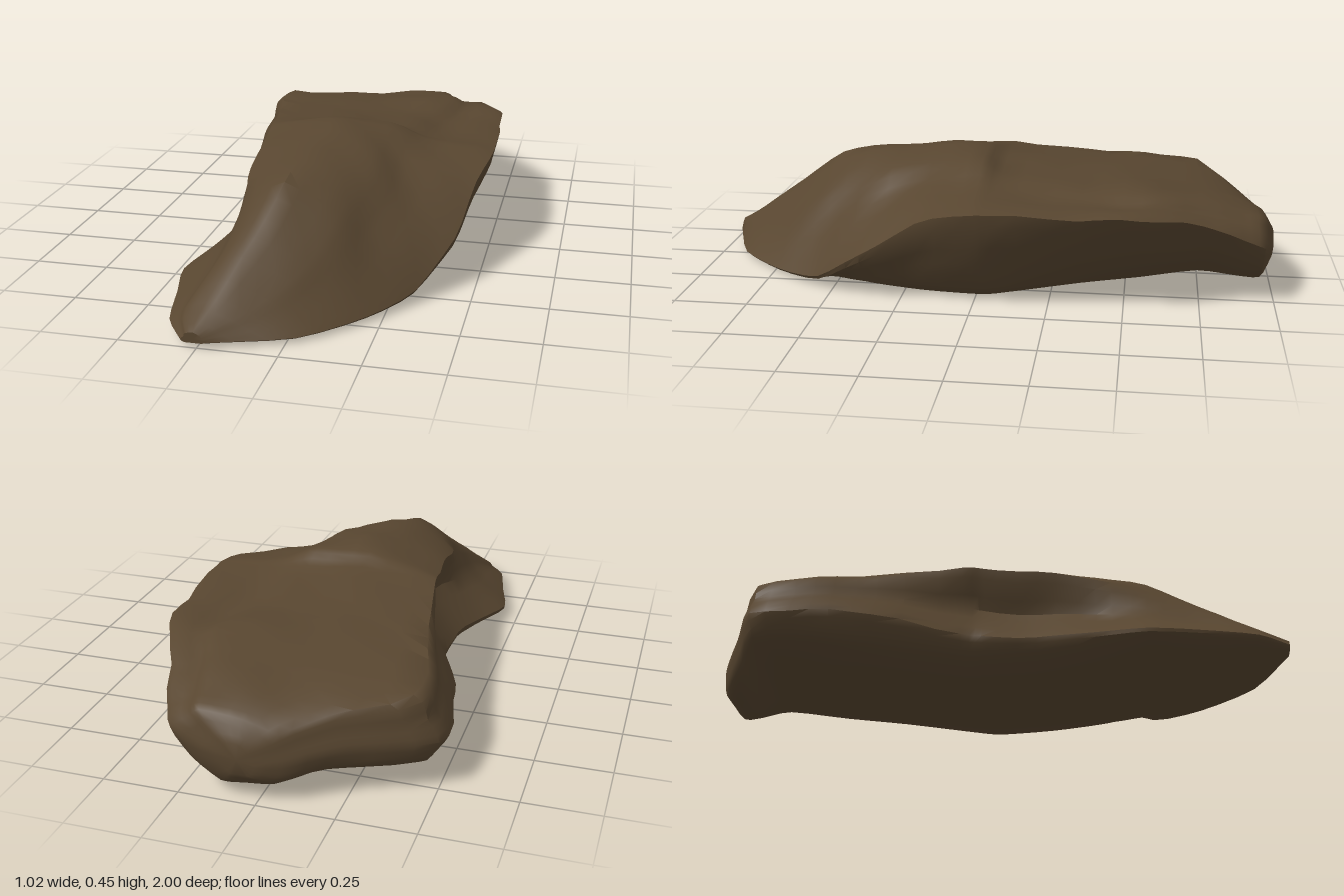
import * as THREE from 'three';
import { toCreasedNormals } from 'three/addons/utils/BufferGeometryUtils.js';

// Stations from the low front tip to the raised back end
const Z = [1, 0.9, 0.72, 0.55, 0.38, 0.18, 0, -0.07, -0.35, -0.55, -0.75, -0.88, -0.96, -1];

// x,y pairs per station: right ledge, right ridge, crest, shoulder, left rim
const SECTIONS = [
  [-0.30, 0.03, -0.285, 0.05, -0.26, 0.055, -0.24, 0.045, -0.22, 0.025],
  [-0.37, 0.04, -0.31, 0.09, -0.22, 0.12, -0.12, 0.09, 0.03, 0.02],
  [-0.41, 0.05, -0.24, 0.21, -0.15, 0.25, 0.02, 0.18, 0.21, 0.025],
  [-0.45, 0.05, -0.24, 0.28, -0.10, 0.385, 0.08, 0.29, 0.33, 0.05],
  [-0.40, 0.07, -0.27, 0.33, -0.08, 0.42, 0.13, 0.37, 0.425, 0.17],
  [-0.345, 0.09, -0.29, 0.36, -0.06, 0.44, 0.12, 0.42, 0.47, 0.30],
  [-0.35, 0.10, -0.30, 0.38, -0.06, 0.445, 0.13, 0.43, 0.50, 0.345],
  [-0.36, 0.11, -0.315, 0.38, -0.05, 0.41, 0.15, 0.395, 0.505, 0.35],
  [-0.455, 0.16, -0.36, 0.35, -0.05, 0.37, 0.20, 0.36, 0.49, 0.34],
  [-0.495, 0.17, -0.41, 0.33, -0.05, 0.355, 0.26, 0.375, 0.465, 0.34],
  [-0.505, 0.16, -0.42, 0.31, -0.05, 0.32, 0.22, 0.345, 0.37, 0.30],
  [-0.25, 0.17, -0.19, 0.27, 0.02, 0.30, 0.20, 0.31, 0.325, 0.24],
  [-0.11, 0.15, -0.07, 0.23, 0.05, 0.27, 0.18, 0.28, 0.28, 0.20],
  [0.00, 0.14, 0.02, 0.18, 0.05, 0.20, 0.09, 0.20, 0.12, 0.16],
];

const AROUND = 3; // subdivisions between control points
const ALONG = 3; // subdivisions between stations

// Close a section: notch above the right ledge, dip beside the shoulder,
// underside lifted at the back right, left flank undercut towards the back
function controlRing(s, z) {
  const { smoothstep } = THREE.MathUtils;
  const base = 0.01 + 0.01 * smoothstep(z, 0.8, 1)
    + 0.03 * smoothstep(-z, 0.6, 0.95) + 0.06 * smoothstep(-z, 0.95, 1);
  const [x0, y0, xr, yr, xc, yc, xs, ys, x1, y1] = s;
  const w = x1 - x0;
  const notch = 0.085 * Math.exp(-(((z - 0.2) / 0.45) ** 2));
  const dip = 0.02 * smoothstep(ys, 0.25, 0.42);
  const inset = 0.2 + 0.2 * smoothstep(-z, -0.1, 0.6);
  const lift = 0.06 * smoothstep(-z, 0.2, 0.5) * smoothstep(z, -1, -0.9);
  return [
    [x0 + 0.05 * w, base + 0.4 * Math.max(0, y0 - base) + 0.3 * lift],
    [x0, y0],
    [(x0 + xr) / 2 + notch, (y0 + yr) / 2],
    [xr, yr],
    [xc, yc],
    [xs, ys],
    [xs + 0.35 * (x1 - xs), ys + 0.35 * (y1 - ys) - dip],
    [x1, y1],
    [x1 - 0.4 * inset * w, base + 0.45 * Math.max(0, y1 - base)],
    [x1 - inset * w, base],
    [x0 + 0.4 * w, base + 0.25 * lift],
    [x0 + 0.17 * w, base + 0.8 * lift],
  ].map(([x, y]) => new THREE.Vector3(x, y, z));
}

// Low uneven swells that break up the surface
function weather(p) {
  const a = Math.sin(p.x * 17 + p.z * 9 + 1) * Math.sin(p.z * 13 - p.x * 6);
  const b = Math.sin(p.z * 23 + p.y * 19) * Math.cos(p.x * 21 + p.y * 8);
  const lift = THREE.MathUtils.smoothstep(p.y, 0.03, 0.15);
  p.y = Math.max(0.004, p.y + lift * (0.006 * a + 0.004 * b));
  p.x += lift * 0.005 * b;
  return p;
}

function rockGeometry() {
  const rings = SECTIONS.map((s, i) => controlRing(s, Z[i]));
  const rails = rings[0].map((_, k) =>
    new THREE.CatmullRomCurve3(rings.map((r) => r[k]), false, 'catmullrom', 0.35));
  const rows = (Z.length - 1) * ALONG;
  const cols = rails.length * AROUND;
  const pos = [];
  const index = [];

  for (let i = 0; i <= rows; i++) {
    const ring = new THREE.CatmullRomCurve3(
      rails.map((r) => r.getPoint(i / rows)), true, 'catmullrom', 0.3);
    for (let j = 0; j < cols; j++) pos.push(...weather(ring.getPoint(j / cols)).toArray());
  }
  for (let i = 0; i < rows; i++) {
    for (let j = 0; j < cols; j++) {
      const a = i * cols + j;
      const b = i * cols + (j + 1) % cols;
      index.push(a, b, a + cols, b, b + cols, a + cols);
    }
  }

  // End caps
  for (const row of [0, rows]) {
    const mid = new THREE.Vector3();
    for (let j = 0; j < cols; j++) {
      mid.add(new THREE.Vector3().fromArray(pos, (row * cols + j) * 3));
    }
    const c = pos.length / 3;
    pos.push(...mid.divideScalar(cols).toArray());
    for (let j = 0; j < cols; j++) {
      const a = row * cols + j;
      const b = row * cols + (j + 1) % cols;
      if (row === 0) index.push(c, b, a);
      else index.push(c, a, b);
    }
  }

  const geo = new THREE.BufferGeometry();
  geo.setAttribute('position', new THREE.Float32BufferAttribute(pos, 3));
  geo.setIndex(index);
  return toCreasedNormals(geo, 0.75);
}

export function createModel() {
  const group = new THREE.Group();
  group.name = 'boulder';
  const stone = new THREE.MeshStandardMaterial({ color: 0x584630 });
  stone.name = 'brown stone';
  const rock = new THREE.Mesh(rockGeometry(), stone);
  rock.name = 'rock';
  group.add(rock);
  return group;
}
